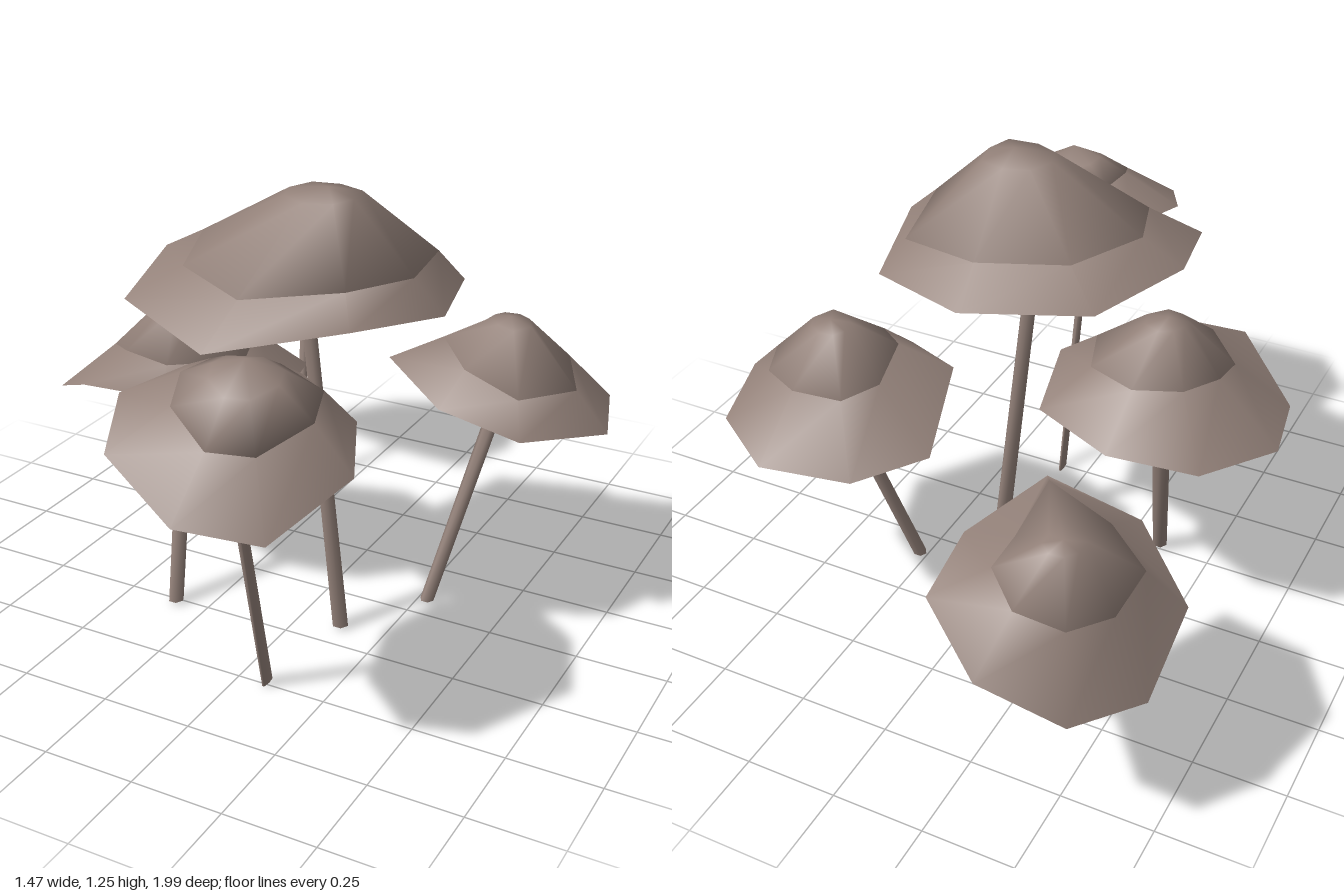
import * as THREE from 'three';

const fungus = new THREE.MeshStandardMaterial({ color: 0x94827a, side: THREE.DoubleSide });
fungus.name = 'taupe fungus';

// Skins equal-length rings of points; optional end points close the first and last ring.
function loft(rings, startPoint, endPoint) {
  const n = rings[0].length;
  const pos = rings.flat(2);
  const index = [];
  for (let r = 0; r < rings.length - 1; r++) {
    for (let i = 0; i < n; i++) {
      const a = r * n + i, b = r * n + (i + 1) % n;
      index.push(a, a + n, b, b, a + n, b + n);
    }
  }
  if (endPoint) {
    const tip = pos.length / 3, last = (rings.length - 1) * n;
    pos.push(...endPoint);
    for (let i = 0; i < n; i++) index.push(last + i, tip, last + (i + 1) % n);
  }
  if (startPoint) {
    // the closing fan has its own corners, so its edge stays sharp
    const first = pos.length / 3;
    pos.push(...rings[0].flat(), ...startPoint);
    for (let i = 0; i < n; i++) index.push(first + i, first + (i + 1) % n, first + n);
  }
  const geo = new THREE.BufferGeometry();
  geo.setAttribute('position', new THREE.Float32BufferAttribute(pos, 3));
  geo.setIndex(index);
  geo.computeVertexNormals();
  return geo;
}

function part(name, geometry) {
  const mesh = new THREE.Mesh(geometry, fungus);
  mesh.name = name;
  return mesh;
}

// Cap: a brim from the wavy rim to the shoulder with gills beneath, and a dome
// whose edge turns in under the shoulder.
function makeCap({ rim, apex, shoulder, rise, crown = [0.7, 0.9], stem }) {
  const toward = (p, q, flat, up) => [
    p[0] + (q[0] - p[0]) * flat, p[1] + (q[1] - p[1]) * up, p[2] + (q[2] - p[2]) * flat];
  const mid = rim.map((p, i) => toward(p, apex, 1 - shoulder[i], rise[i]));
  const top = mid.map((p) => toward(p, apex, ...crown));
  const socket = stem[stem.length - 1].slice(0, 3);
  const under = mid.map((p) => toward(p, socket, 0.5, 0.5));
  return [
    part('brimAndGills', loft([rim, mid], socket)),
    part('dome', loft([under, mid, top], null, apex)),
  ];
}

// Stem: six-sided rings [x, y, z, x radius, z radius] from the ground up.
function makeStem(path) {
  const rings = path.map(([x, y, z, rx, rz]) => Array.from({ length: 6 }, (_, i) => {
    const a = i / 6 * Math.PI * 2;
    return [x + Math.cos(a) * rx, y, z + Math.sin(a) * rz];
  }));
  return part('stem', loft(rings, path[0].slice(0, 3)));
}

// Rim points run clockwise seen from above, starting at the back; shoulder and rise
// place the shoulder between the apex and each rim point.
const mushrooms = {
  tallMushroom: {
    rim: [[0.03, 0.995, -0.27], [0.33, 0.965, -0.14], [0.42, 0.99, 0.19], [0.30, 1.02, 0.46],
      [-0.04, 0.94, 0.57], [-0.35, 0.98, 0.43], [-0.41, 1.025, 0.14], [-0.30, 1.02, -0.17]],
    apex: [0.08, 1.257, 0.15],
    shoulder: [0.71, 0.8, 0.74, 0.8, 0.72, 0.71, 0.76, 0.72],
    rise: [0.3, 0.3, 0.3, 0.3, 0.33, 0.3, 0.27, 0.3],
    stem: [[0.125, 0.02, 0.165, 0.024, 0.024], [0.03, 0.88, 0.16, 0.021, 0.021], [0.01, 1.14, 0.13, 0.018, 0.018]],
  },
  leftmostMushroom: {
    rim: [[-0.355, 0.64, -0.20], [-0.12, 0.65, -0.10], [-0.05, 0.66, 0.18], [-0.28, 0.705, 0.39],
      [-0.50, 0.71, 0.42], [-0.69, 0.61, 0.27], [-0.725, 0.60, 0.07], [-0.59, 0.62, -0.15]],
    apex: [-0.38, 0.88, 0.13],
    shoulder: [0.6, 0.6, 0.65, 0.72, 0.57, 0.54, 0.47, 0.5],
    rise: [0.52, 0.48, 0.4, 0.34, 0.36, 0.48, 0.54, 0.54],
    stem: [[-0.345, 0.02, 0.265, 0.022, 0.024], [-0.382, 0.63, 0.11, 0.028, 0.024], [-0.38, 0.79, 0.10, 0.022, 0.02]],
  },
  rightMushroom: {
    rim: [[0.21, 0.575, -0.52], [0.455, 0.58, -0.57], [0.655, 0.585, -0.43], [0.735, 0.59, -0.175],
      [0.58, 0.63, 0.06], [0.34, 0.66, 0.03], [0.13, 0.715, -0.11], [0.07, 0.595, -0.355]],
    apex: [0.43, 0.848, -0.23],
    shoulder: [0.56, 0.53, 0.58, 0.68, 0.76, 0.65, 0.55, 0.5],
    rise: [0.54, 0.54, 0.5, 0.38, 0.38, 0.45, 0.5, 0.54],
    stem: [[0.275, 0.01, -0.08, 0.02, 0.02], [0.395, 0.57, -0.24, 0.022, 0.018], [0.415, 0.76, -0.24, 0.018, 0.016]],
  },
  frontMushroom: {
    rim: [[0.12, 0.84, 0.355], [0.34, 0.82, 0.50], [0.435, 0.785, 0.70], [0.33, 0.69, 0.915],
      [0.14, 0.725, 0.995], [-0.075, 0.825, 0.925], [-0.165, 0.88, 0.73], [-0.10, 0.89, 0.53]],
    apex: [0.16, 1.02, 0.70],
    shoulder: [0.6, 0.7, 0.64, 0.57, 0.55, 0.53, 0.5, 0.57],
    rise: [0.46, 0.46, 0.48, 0.48, 0.44, 0.5, 0.57, 0.5],
    crown: [0.5, 0.6],
    stem: [[0.08, 0.01, 0.49, 0.006, 0.025], [0.10, 0.71, 0.67, 0.014, 0.018], [0.11, 0.93, 0.70, 0.012, 0.015]],
  },
  backMushroom: {
    rim: [[-0.395, 0.55, -0.995], [-0.215, 0.64, -0.88], [-0.19, 0.655, -0.65], [-0.295, 0.70, -0.415],
      [-0.56, 0.68, -0.45], [-0.735, 0.58, -0.58], [-0.725, 0.45, -0.78], [-0.60, 0.46, -0.945]],
    apex: [-0.485, 0.795, -0.73],
    shoulder: [0.57, 0.52, 0.47, 0.88, 0.6, 0.65, 0.6, 0.6],
    rise: [0.55, 0.53, 0.53, 0.2, 0.5, 0.53, 0.58, 0.58],
    stem: [[-0.365, 0.03, -0.485, 0.015, 0.017], [-0.445, 0.52, -0.685, 0.015, 0.017], [-0.47, 0.73, -0.71, 0.013, 0.014]],
  },
};

export function createModel() {
  const model = new THREE.Group();
  model.name = 'mushroomCluster';
  for (const [name, spec] of Object.entries(mushrooms)) {
    const mushroom = new THREE.Group();
    mushroom.name = name;
    mushroom.add(...makeCap(spec), makeStem(spec.stem));
    model.add(mushroom);
  }
  return model;
}
